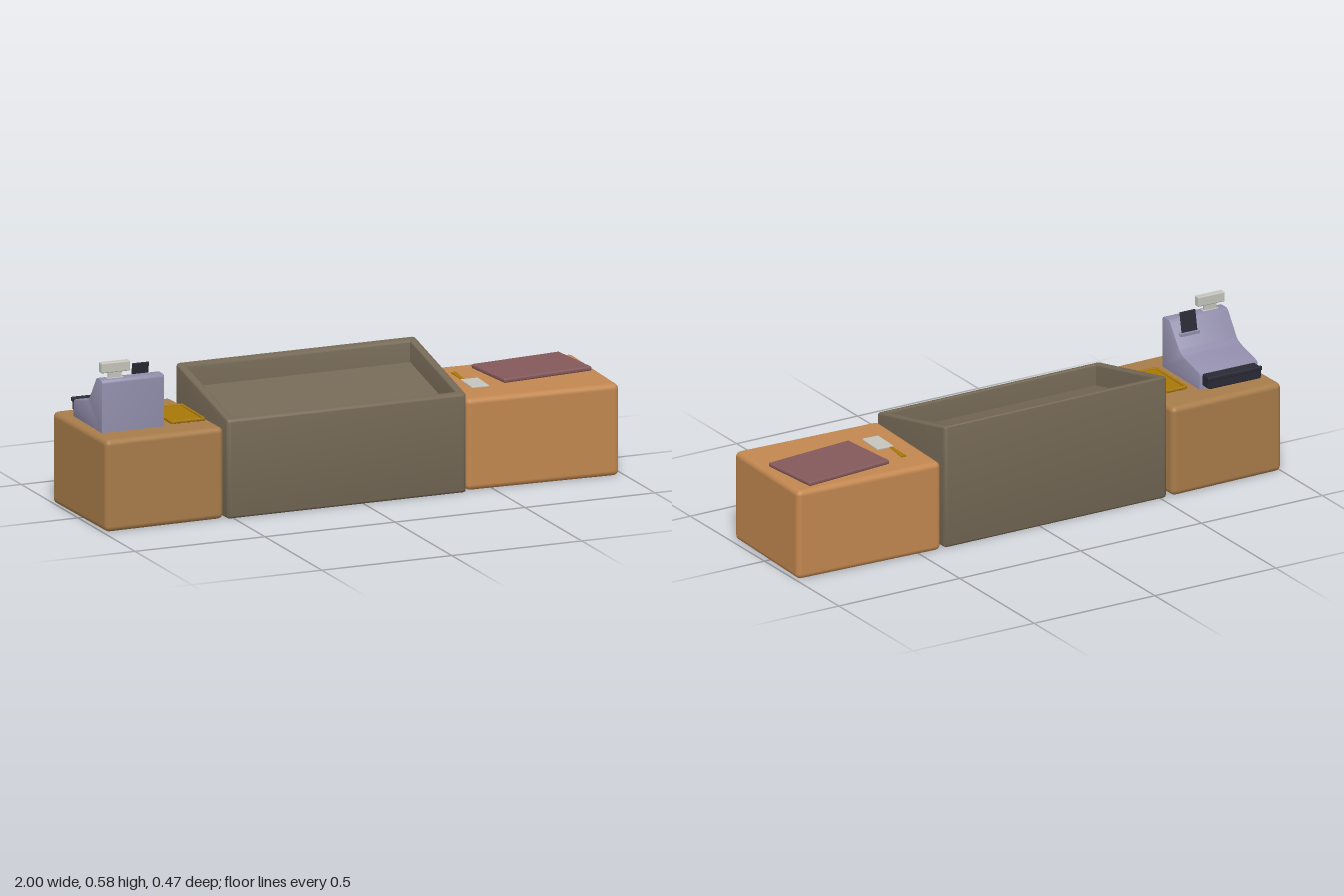
import * as THREE from 'three';
import { RoundedBoxGeometry } from 'three/addons/geometries/RoundedBoxGeometry.js';
import { toCreasedNormals } from 'three/addons/utils/BufferGeometryUtils.js';

const mat = (color) => new THREE.MeshStandardMaterial({ color });
const M = {
  leftWood: mat(0xa87c4a), rightWood: mat(0xc2874f), stone: mat(0x746855), shell: mat(0x918dab),
  dark: mat(0x2a2a36), pale: mat(0xc4c4bc), gold: mat(0xa87808), leather: mat(0x85595b),
};

function add(parent, name, geometry, material, x = 0, y = 0, z = 0, ry = 0) {
  const mesh = new THREE.Mesh(geometry, material);
  mesh.name = name;
  mesh.position.set(x, y, z);
  mesh.rotation.y = ry;
  parent.add(mesh);
  return mesh;
}
const box = (w, h, d, r = 0.004) => new RoundedBoxGeometry(w, h, d, 3, r);

function rectPath(path, w, d, r) {
  const a = w / 2, b = d / 2;
  path.moveTo(-a + r, -b).lineTo(a - r, -b).quadraticCurveTo(a, -b, a, -b + r);
  path.lineTo(a, b - r).quadraticCurveTo(a, b, a - r, b);
  path.lineTo(-a + r, b).quadraticCurveTo(-a, b, -a, b - r);
  path.lineTo(-a, -b + r).quadraticCurveTo(-a, -b, -a + r, -b);
  return path;
}

// Upright rectangular ring with rounded rims, standing on y = 0
function ring(w, d, innerW, innerD, h, bevel, corner) {
  const shape = rectPath(new THREE.Shape(), w - 2 * bevel, d - 2 * bevel, corner);
  shape.holes.push(rectPath(new THREE.Path(), innerW + 2 * bevel, innerD + 2 * bevel, corner));
  const geo = new THREE.ExtrudeGeometry(shape, {
    depth: h - 2 * bevel, bevelThickness: bevel, bevelSize: bevel, bevelSegments: 3, curveSegments: 4,
  });
  return geo.translate(0, 0, bevel).rotateX(-Math.PI / 2);
}

// Tilts the upper half of a geometry so its top rises towards the back
function slopeTop(geo, slope) {
  geo.computeBoundingBox();
  const mid = (geo.boundingBox.min.y + geo.boundingBox.max.y) / 2;
  const p = geo.attributes.position;
  for (let i = 0; i < p.count; i++) {
    if (p.getY(i) > mid) p.setY(i, p.getY(i) - slope * p.getZ(i));
  }
  return toCreasedNormals(geo, 0.6);
}

// Central trough: sloping rim around a sunken floor
function trough() {
  const g = new THREE.Group();
  g.name = 'centralTrough';
  g.position.set(-0.065, 0, 0);
  const slope = 0.22;
  add(g, 'troughWalls', slopeTop(ring(0.92, 0.46, 0.86, 0.4, 0.41, 0.009, 0.006), slope), M.stone);
  const core = new THREE.BoxGeometry(0.88, 0.329, 0.42).translate(0, 0.1655, 0);
  add(g, 'troughFloor', slopeTop(core, slope), M.stone);
  return g;
}

// Till with a swept side profile, cash drawer, screen and customer display
function till() {
  const g = new THREE.Group();
  g.name = 'till';
  g.position.set(-0.841, 0.335, 0);
  g.rotation.y = -0.015;
  // Profile drawn as (z, y)
  const s = new THREE.Shape();
  s.moveTo(0.121, 0).lineTo(0.121, 0.178).quadraticCurveTo(0.121, 0.187, 0.112, 0.187);
  s.lineTo(0.085, 0.187).quadraticCurveTo(0.077, 0.187, 0.072, 0.18);
  s.lineTo(0.014, 0.1).quadraticCurveTo(0.006, 0.088, -0.035, 0.078);
  s.lineTo(-0.125, 0.058).quadraticCurveTo(-0.13, 0.056, -0.13, 0.05).lineTo(-0.13, 0);
  const geo = new THREE.ExtrudeGeometry(s, {
    depth: 0.23, bevelThickness: 0.005, bevelSize: 0.004, bevelSegments: 2, curveSegments: 5,
  });
  geo.translate(0, 0, -0.115).rotateY(-Math.PI / 2);
  add(g, 'tillBody', toCreasedNormals(geo, 0.6), M.shell);
  add(g, 'cashDrawer', box(0.215, 0.045, 0.06, 0.006), M.dark, 0, 0.034, -0.147);
  add(g, 'drawerFront', box(0.222, 0.016, 0.012), M.dark, 0, 0.05, -0.173);
  // Screen leaning over the slope
  add(g, 'screenBracket', box(0.085, 0.016, 0.016), M.shell, 0.058, 0.142, 0.043);
  const screen = add(g, 'screen', box(0.064, 0.085, 0.005, 0.002), M.dark, 0.058, 0.181, 0.047);
  screen.rotation.x = 0.2;
  // Customer display on its short stand
  add(g, 'displayNeck', box(0.05, 0.03, 0.013), M.pale, -0.059, 0.2, 0.097);
  add(g, 'displayFoot', box(0.062, 0.005, 0.02, 0.002), M.pale, -0.059, 0.19, 0.097);
  add(g, 'customerDisplay', box(0.11, 0.037, 0.026), M.pale, -0.059, 0.231, 0.097);
  return g;
}

// Shallow tray with a scalloped rim
function goldTray() {
  const g = new THREE.Group();
  g.name = 'goldTray';
  g.position.set(-0.623, 0.335, 0.005);
  g.rotation.y = -0.02;
  add(g, 'trayBase', box(0.125, 0.007, 0.21, 0.002), M.gold, 0, 0.003, 0);
  add(g, 'trayRim', toCreasedNormals(ring(0.13, 0.214, 0.112, 0.196, 0.012, 0.002, 0.004), 0.6), M.gold);
  for (const side of [-1, 1]) {
    for (let i = -2; i <= 2; i++) add(g, 'rimScallop', box(0.008, 0.01, 0.026), M.gold, side * 0.063, 0.007, i * 0.042);
    for (let i = -1; i <= 1; i++) add(g, 'rimScallop', box(0.024, 0.01, 0.008), M.gold, i * 0.038, 0.007, side * 0.105);
  }
  return g;
}

// Loose items on the right-hand block
function deskItems() {
  const g = new THREE.Group();
  g.name = 'deskItems';
  add(g, 'deskPad', box(0.355, 0.016, 0.24, 0.006), M.leather, 0.772, 0.345, -0.063, 0.1);
  add(g, 'paleTag', box(0.066, 0.008, 0.112, 0.003), M.pale, 0.514, 0.337, 0.028, -0.05);
  const handle = new THREE.CylinderGeometry(0.012, 0.006, 0.1, 8).rotateX(-Math.PI / 2).scale(1, 0.4, 1);
  add(g, 'goldHandle', handle, M.gold, 0.499, 0.337, -0.08, -0.08);
  return g;
}

export function createModel() {
  const root = new THREE.Group();
  root.name = 'counter';
  add(root, 'leftBlock', box(0.458, 0.335, 0.458, 0.02), M.leftWood, -0.768, 0.1675, -0.003, 0.018);
  add(root, 'rightBlock', box(0.582, 0.335, 0.456, 0.02), M.rightWood, 0.698, 0.1675, -0.002, -0.035);
  root.add(trough(), till(), goldTray(), deskItems());
  return root;
}
